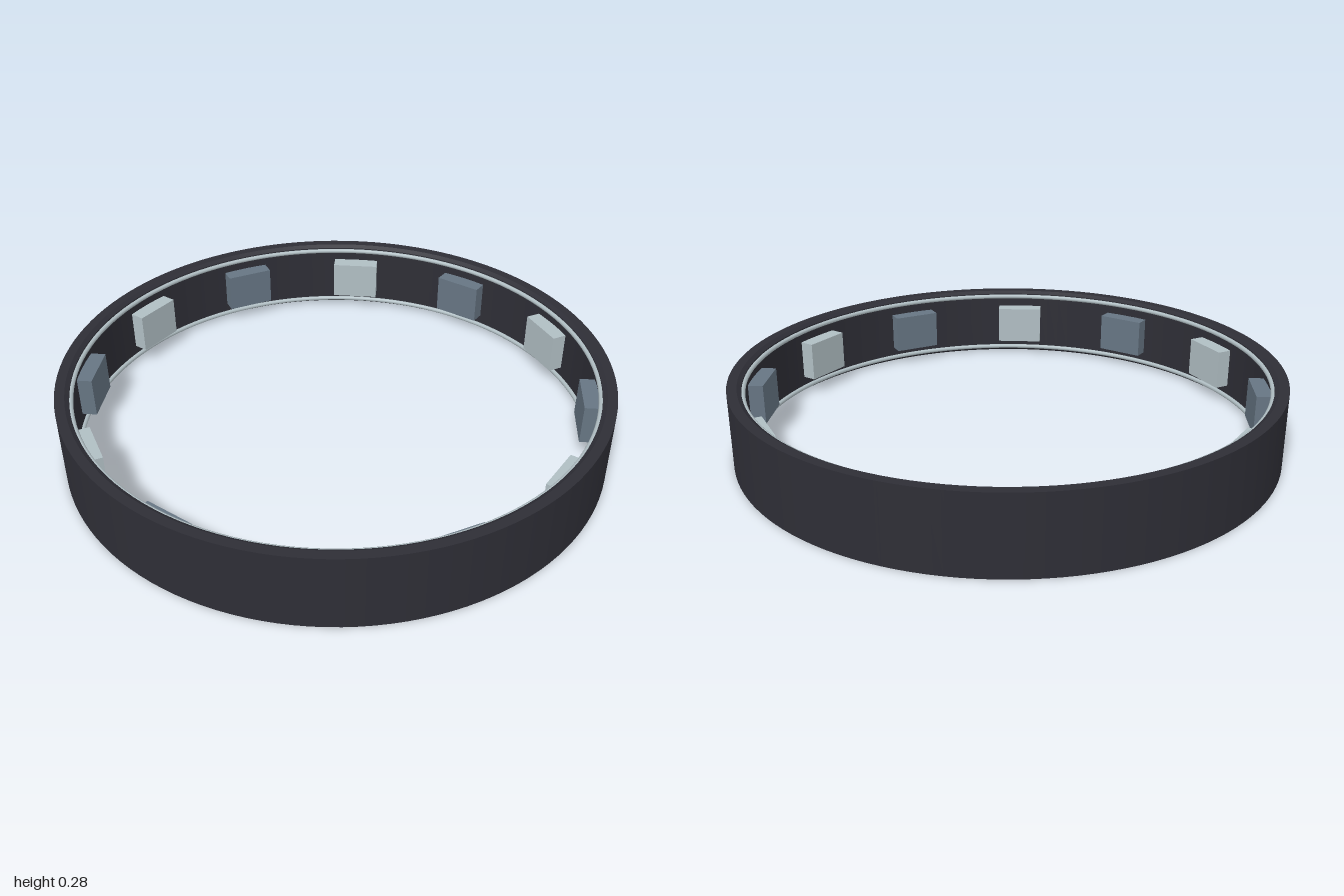
import * as THREE from 'three';

const SEG = 128;
const HEIGHT = 0.28;
const INNER = 0.95;

export function createModel() {
  const model = new THREE.Group();
  model.name = 'studdedRing';

  const charcoal = new THREE.MeshStandardMaterial({ color: 0x2e2e36 });
  charcoal.name = 'charcoal';
  const silver = new THREE.MeshStandardMaterial({ color: 0xb0bec3 });
  silver.name = 'paleSilver';
  const slate = new THREE.MeshStandardMaterial({ color: 0x667583 });
  slate.name = 'slate';

  const add = (geometry, material, name, parent = model) => {
    const mesh = new THREE.Mesh(geometry, material);
    mesh.name = name;
    parent.add(mesh);
    return mesh;
  };

  // Band: each profile edge is its own lathe, so the corners stay sharp
  const band = new THREE.Group();
  band.name = 'band';
  model.add(band);
  const profile = [
    [1, 0, 'outerWall'],
    [1, HEIGHT, 'topRim'],
    [0.965, HEIGHT, 'topChamfer'],
    [INNER, HEIGHT - 0.01, 'innerWall'],
    [INNER, 0.01, 'bottomChamfer'],
    [0.965, 0, 'bottomRim'],
  ];
  profile.forEach(([r, y, name], i) => {
    const [r2, y2] = profile[(i + 1) % profile.length];
    const edge = [new THREE.Vector2(r, y), new THREE.Vector2(r2, y2)];
    add(new THREE.LatheGeometry(edge, SEG), charcoal, name, band);
  });

  // Thin trim wires just inside both rims
  for (const [y, name] of [[0.022, 'lowerTrim'], [HEIGHT - 0.022, 'upperTrim']]) {
    const trim = add(new THREE.TorusGeometry(0.946, 0.009, 8, SEG), silver, name);
    trim.rotation.x = Math.PI / 2;
    trim.position.y = y;
  }

  // Twelve blocks on the inner wall, alternating in colour
  const blockGeometry = new THREE.BoxGeometry(0.06, 0.15, 0.185);
  for (let i = 0; i < 12; i++) {
    const angle = (i * Math.PI) / 6;
    const block = add(blockGeometry, i % 2 ? silver : slate, 'innerBlock' + (i + 1));
    block.position.set(Math.cos(angle) * 0.92, HEIGHT / 2, Math.sin(angle) * 0.92);
    block.rotation.y = -angle;
  }

  return model;
}
